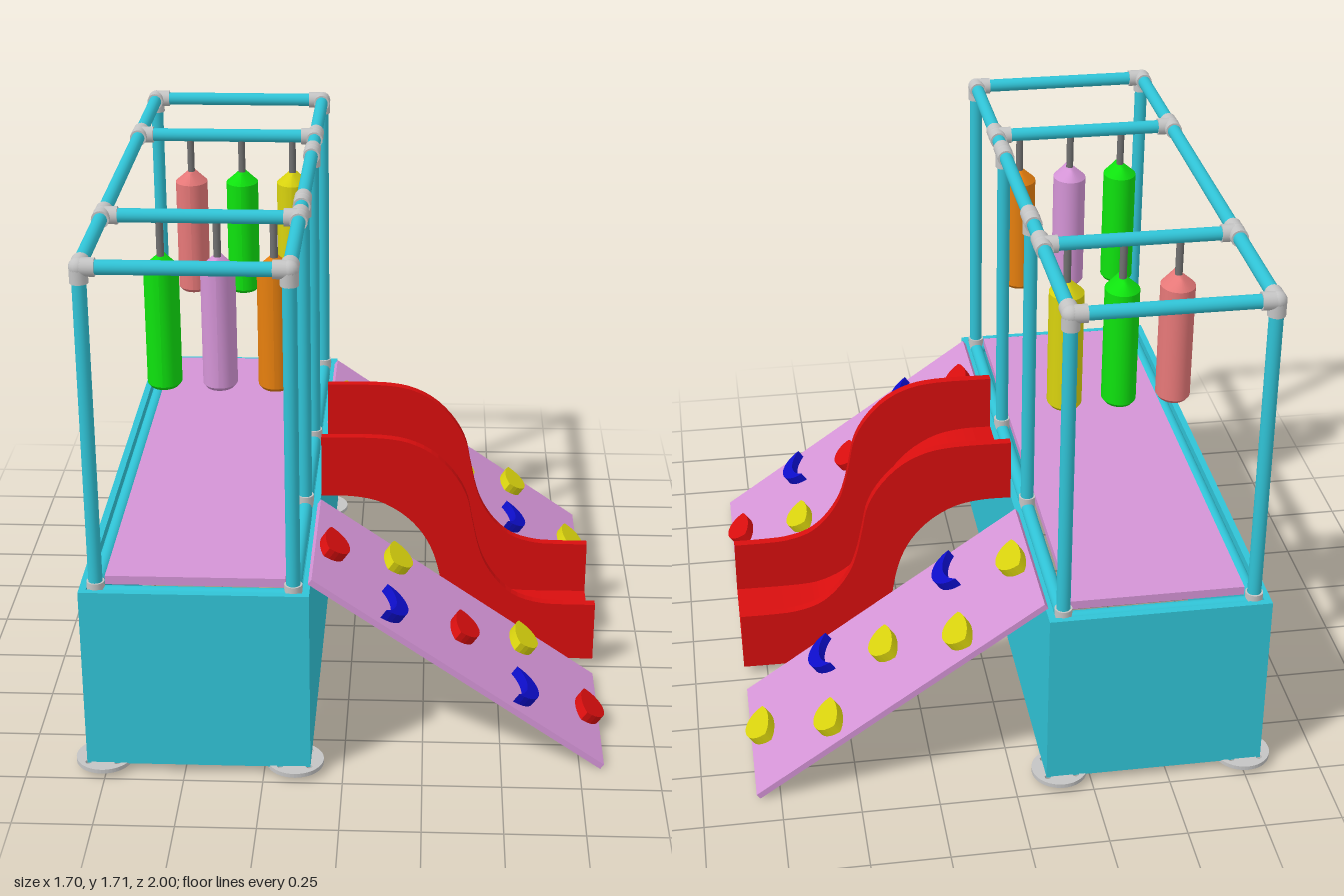
import * as THREE from 'three';

const mat = (name, color) => Object.assign(new THREE.MeshStandardMaterial({ color }), { name });
const M = {
  cyan: mat('cyan', 0x30c3d6), lilac: mat('lilac', 0xd494d6), red: mat('red', 0xd80e0e),
  blue: mat('blue', 0x0d0dc8), yellow: mat('yellow', 0xd8d20e), green: mat('green', 0x0ee30e),
  orange: mat('orange', 0xe67f0e), salmon: mat('salmon', 0xe67878),
  steel: mat('light steel', 0xc4c4c4), rod: mat('dark steel', 0x707070),
};
const V = (x, y, z) => new THREE.Vector3(x, y, z);

function add(parent, name, geo, material, pos) {
  const m = new THREE.Mesh(geo, material);
  m.name = name;
  if (pos) m.position.copy(pos);
  parent.add(m);
  return m;
}
function box(parent, name, material, x0, x1, y0, y1, z0, z1) {
  return add(parent, name, new THREE.BoxGeometry(x1 - x0, y1 - y0, z1 - z0), material,
    V((x0 + x1) / 2, (y0 + y1) / 2, (z0 + z1) / 2));
}
// Round bar between two points
function bar(parent, name, a, b, r, material) {
  const d = b.clone().sub(a);
  const m = add(parent, name, new THREE.CylinderGeometry(r, r, d.length(), 20), material, a.clone().add(b).multiplyScalar(0.5));
  m.quaternion.setFromUnitVectors(V(0, 1, 0), d.normalize());
  return m;
}
// Pipe joint: a ball with short sleeves in the given directions
function joint(parent, p, dirs) {
  const g = new THREE.Group();
  g.name = 'pipeJoint';
  parent.add(g);
  add(g, 'jointBall', new THREE.SphereGeometry(0.029, 16, 12), M.steel, p);
  dirs.forEach(d => bar(g, 'jointSleeve', p, p.clone().addScaledVector(d, 0.048), 0.028, M.steel));
}

const XL = -0.76, XR = -0.152, ZE = 0.91, TOP = 1.68, R = 0.022;

function buildFrame(root) {
  const g = new THREE.Group();
  g.name = 'pipeFrame';
  root.add(g);
  const posts = [[XL, ZE], [XR, ZE], [XL, -ZE], [XR, -ZE], [XR, 0.285], [XR, -0.248]];
  posts.forEach(([x, z]) => {
    bar(g, 'post', V(x, 0.03, z), V(x, TOP, z), R, M.cyan);
    bar(g, 'postCollar', V(x, 0.62, z), V(x, 0.66, z), 0.028, M.steel);
  });
  // Upper and lower rails
  for (const y of [TOP, 0.62]) {
    for (const x of [XL, XR]) bar(g, 'longRail', V(x, y, -ZE), V(x, y, ZE), R, M.cyan);
    for (const z of [-ZE, ZE]) bar(g, 'endRail', V(XL, y, z), V(XR, y, z), R, M.cyan);
  }
  for (const z of [-0.44, 0.44]) {
    bar(g, 'crossBar', V(XL, TOP, z), V(XR, TOP, z), R, M.cyan);
    joint(g, V(XL, TOP, z), [V(1, 0, 0), V(0, 0, 1), V(0, 0, -1)]);
    joint(g, V(XR, TOP, z), [V(-1, 0, 0), V(0, 0, 1), V(0, 0, -1)]);
  }
  for (const s of [-1, 1]) {
    joint(g, V(XL, TOP, s * ZE), [V(1, 0, 0), V(0, -1, 0), V(0, 0, -s)]);
    joint(g, V(XR, TOP, s * ZE), [V(-1, 0, 0), V(0, -1, 0), V(0, 0, -s)]);
  }
  for (const z of [0.285, -0.248]) joint(g, V(XR, TOP, z), [V(0, -1, 0), V(0, 0, 1), V(0, 0, -1)]);

  // Floor flanges with bolt holes
  const disc = new THREE.Shape().absarc(0, 0, 0.09, 0, Math.PI * 2);
  const hole = (x, y, r) => disc.holes.push(new THREE.Path().absarc(x, y, r, 0, Math.PI * 2, true));
  hole(0, 0, 0.018);
  for (let i = 0; i < 4; i++) {
    const a = Math.PI / 4 + i * Math.PI / 2;
    hole(0.065 * Math.cos(a), 0.065 * Math.sin(a), 0.01);
  }
  const flange = new THREE.ExtrudeGeometry(disc, { depth: 0.014, bevelEnabled: false, curveSegments: 24 });
  flange.rotateX(-Math.PI / 2);
  posts.slice(0, 4).forEach(([x, z]) => {
    add(g, 'footFlange', flange, M.steel, V(x, 0.019, z));
    bar(g, 'footSocket', V(x, 0.03, z), V(x, 0.075, z), 0.032, M.steel);
  });
}

function buildPlatform(root) {
  const g = new THREE.Group();
  g.name = 'platform';
  root.add(g);
  const t = 0.022, y0 = 0.03, y1 = 0.64;
  box(g, 'sidePanel', M.cyan, -0.81, -0.81 + t, y0, y1, -0.955, 0.955);
  box(g, 'sidePanel', M.cyan, -0.102 - t, -0.102, y0, y1, -0.955, 0.955);
  box(g, 'endPanel', M.cyan, -0.81 + t, -0.102 - t, y0, y1, 0.955 - t, 0.955);
  box(g, 'endPanel', M.cyan, -0.81 + t, -0.102 - t, y0, y1, -0.955, -0.955 + t);
  box(g, 'deck', M.lilac, -0.735, -0.178, 0.635, 0.664, -0.887, 0.887);
}

// Hanging bag: a lathe body whose top closes into a short ridge
function hangingBag(root, x, z, material) {
  const g = new THREE.Group();
  g.name = 'hangingBag';
  g.position.set(x, 0, z);
  root.add(g);
  const pts = [[0, 1.12], [0.046, 1.12], [0.055, 1.132], [0.055, 1.132], [0.055, 1.515], [0.055, 1.515], [0.012, 1.55], [0, 1.55]];
  const geo = new THREE.LatheGeometry(pts.map(p => new THREE.Vector2(...p)), 28);
  const p = geo.attributes.position;
  for (let i = 0; i < p.count; i++) {
    p.setZ(i, p.getZ(i) * (p.getY(i) > 1.53 ? 3.6 : 1.18));
  }
  geo.computeVertexNormals();
  add(g, 'bagBody', geo, material);
  bar(g, 'bagRod', V(0, 1.54, 0), V(0, TOP, 0), 0.012, M.rod);
}

// Climbing hold outlines: u runs down the ramp, v across it
function holdShape(crescent) {
  const s = new THREE.Shape();
  if (crescent) {
    s.moveTo(-0.045, -0.085);
    s.bezierCurveTo(0.065, -0.075, 0.065, 0.075, -0.045, 0.085);
    s.bezierCurveTo(0.005, 0.04, 0.005, -0.04, -0.045, -0.085);
  } else {
    s.moveTo(-0.025, -0.075);
    s.bezierCurveTo(0.075, -0.07, 0.075, 0.07, -0.025, 0.075);
    s.bezierCurveTo(-0.05, 0.04, -0.05, -0.04, -0.025, -0.075);
  }
  const geo = new THREE.ExtrudeGeometry(s, { depth: 0.033, bevelEnabled: false, curveSegments: 14 });
  return geo.rotateX(-Math.PI / 2);
}

function climbingRamp(root, zc, holds) {
  const g = new THREE.Group();
  g.name = 'climbingRamp';
  const slope = Math.atan2(0.645, 0.925), len = Math.hypot(0.645, 0.925), x0 = -0.098;
  g.position.set(x0, 0.662, zc);
  g.rotation.z = -slope;
  root.add(g);
  box(g, 'rampBoard', M.lilac, 0, len, -0.02, 0, -0.28, 0.28);
  for (const [x, z, material] of holds) {
    add(g, 'climbingHold', holdShape(material === M.blue), material, V((x - x0) / Math.cos(slope) - 0.012, 0, z - zc));
  }
}

function buildSlide(root) {
  const g = new THREE.Group();
  g.name = 'slide';
  root.add(g);
  const curve = pts => new THREE.CatmullRomCurve3(pts.map(([x, y]) => V(x, y, 0)), false, 'centripetal');
  const bottom = curve([[-0.1, 0.642], [0, 0.642], [0.09, 0.625], [0.17, 0.58], [0.23, 0.52], [0.27, 0.45], [0.295, 0.37],
    [0.31, 0.29], [0.335, 0.2], [0.38, 0.13], [0.45, 0.075], [0.53, 0.043], [0.6, 0.035], [0.83, 0.035]]);
  const top = curve([[-0.1, 0.855], [0.1, 0.855], [0.19, 0.84], [0.27, 0.8], [0.34, 0.73], [0.385, 0.65], [0.405, 0.56],
    [0.425, 0.47], [0.45, 0.4], [0.5, 0.325], [0.56, 0.275], [0.64, 0.25], [0.72, 0.245], [0.83, 0.245]]);
  const N = 40, low = [], bed = [], high = [];
  for (let i = 0; i <= N; i++) {
    const p = bottom.getPoint(i / N), t = bottom.getTangent(i / N), q = top.getPoint(i / N);
    low.push(new THREE.Vector2(p.x, p.y));
    bed.push(new THREE.Vector2(p.x - t.y * 0.02, p.y + t.x * 0.02));
    high.push(new THREE.Vector2(q.x, q.y));
  }
  const slab = (name, upper, z0, z1) => add(g, name, new THREE.ExtrudeGeometry(
    new THREE.Shape([...low, ...upper.slice().reverse()]), { depth: z1 - z0, bevelEnabled: false }), M.red, V(0, 0, z0));
  slab('slideWall', high, 0.225, 0.255);
  slab('slideWall', high, -0.222, -0.192);
  slab('slideBed', bed, -0.192, 0.225);
}

export function createModel() {
  const root = new THREE.Group();
  root.name = 'playFrame';
  buildPlatform(root);
  buildFrame(root);
  const bagX = [-0.585, -0.408, -0.232];
  [M.green, M.lilac, M.orange].forEach((m, i) => hangingBag(root, bagX[i], 0.44, m));
  [M.salmon, M.green, M.yellow].forEach((m, i) => hangingBag(root, bagX[i], -0.44, m));
  climbingRamp(root, 0.605, [
    ...[-0.04, 0.38, 0.795].map(x => [x, 0.615, M.red]),
    ...[0.16, 0.58].flatMap(x => [[x, 0.435, M.yellow], [x, 0.765, M.blue]]),
  ]);
  climbingRamp(root, -0.607, [
    ...[-0.04, 0.38, 0.795].map(x => [x, -0.595, M.yellow]),
    ...[0.16, 0.58].flatMap(x => [[x, -0.775, M.yellow], [x, -0.445, M.blue]]),
  ]);
  buildSlide(root);
  return root;
}
